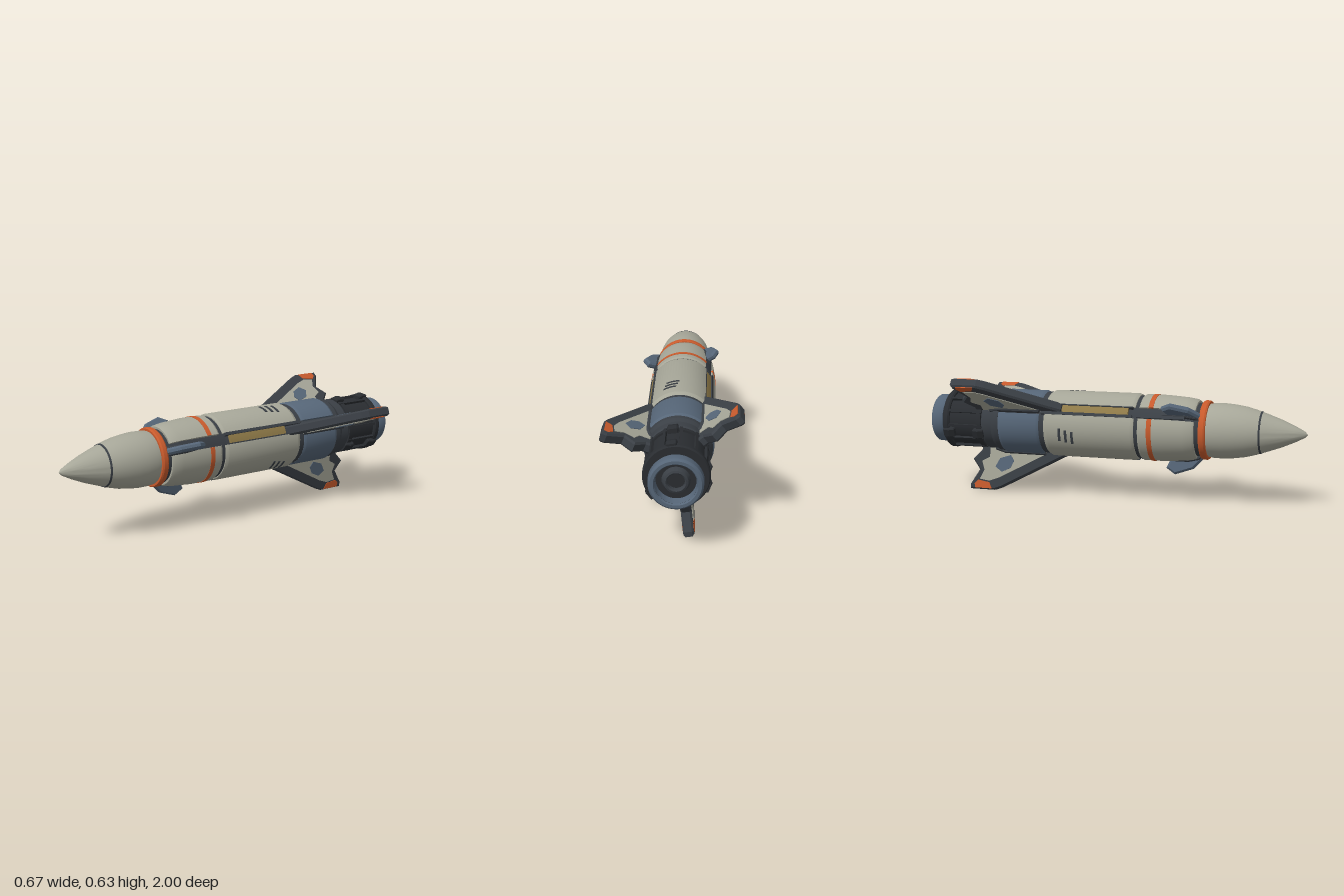
import * as THREE from 'three';
import { mergeGeometries, toCreasedNormals } from 'three/addons/utils/BufferGeometryUtils.js';

const material = (name, color) => {
  const m = new THREE.MeshStandardMaterial({ color, side: THREE.DoubleSide });
  m.name = name;
  return m;
};
const hull = material('warm grey', 0xa6a698);
const slate = material('slate blue', 0x566678);
const dark = material('dark grey', 0x3a3f45);
const black = material('engine black', 0x2a2d31);
const orange = material('orange', 0xc85a2c);
const ochre = material('ochre', 0x8f7a48);

const rad = THREE.MathUtils.degToRad;
const vecs = (pts) => pts.map(([r, z]) => new THREE.Vector2(r, z));

export function createModel() {
  const model = new THREE.Group();
  const rocket = new THREE.Group();
  rocket.name = 'rocket';
  rocket.position.set(-0.027, 0.381, 0);
  model.add(rocket);

  const add = (name, geometry, mat) => {
    const mesh = new THREE.Mesh(geometry, mat);
    mesh.name = name;
    rocket.add(mesh);
    return mesh;
  };

  // Body of revolution around z; profile is [radius, z] with z rising on the outside
  const turned = (name, pts, mat) => {
    const g = new THREE.LatheGeometry(vecs(pts), 64).rotateX(Math.PI / 2);
    return add(name, toCreasedNormals(g, rad(25)), mat);
  };

  // Part of a ring between two angles, with closed ends; profile runs counterclockwise
  const sector = (name, pts, a0, a1, mat) => {
    const steps = Math.max(2, Math.ceil((a1 - a0) / 5));
    const closed = vecs([...pts, pts[0]]);
    const skin = new THREE.LatheGeometry(closed, steps, rad(a0 + 90), rad(a1 - a0)).rotateX(Math.PI / 2);
    const cap = (a, flip) => {
      const g = new THREE.ShapeGeometry(new THREE.Shape(vecs(pts))).rotateX(Math.PI / 2).rotateZ(rad(a));
      if (flip) {
        g.setIndex([...g.index.array].reverse());
        g.computeVertexNormals();
      }
      return g.toNonIndexed();
    };
    return add(name, mergeGeometries([toCreasedNormals(skin, rad(25)), cap(a0, false), cap(a1, true)]), mat);
  };
  const band = (r0, r1, z0, z1) => [[r0, z0], [r1, z0], [r1, z1], [r0, z1]];

  // Flat radial plate at an angle; outline is [radius, z]
  const plate = (name, pts, thickness, angle, mat, bevel = 0) => {
    const g = new THREE.ExtrudeGeometry(new THREE.Shape(vecs(pts)), {
      depth: thickness - 2 * bevel, bevelEnabled: bevel > 0, bevelSegments: 1,
      bevelThickness: bevel, bevelSize: bevel, bevelOffset: -bevel,
    });
    g.translate(0, 0, -thickness / 2 + bevel).rotateX(Math.PI / 2).rotateZ(rad(angle));
    return add(name, g, mat);
  };

  // Nose and collar
  turned('noseCone', [
    [0, 0.505], [0.136, 0.505], [0.14, 0.53], [0.141, 0.58], [0.137, 0.63], [0.128, 0.69],
    [0.115, 0.74], [0.095, 0.8], [0.07, 0.87], [0.042, 0.935], [0.016, 0.985], [0, 1],
  ], hull);
  turned('noseSeam', [[0.1, 0.765], [0.1085, 0.765], [0.1055, 0.774], [0.1, 0.774]], dark);
  turned('collarRing', [
    [0.13, 0.47], [0.147, 0.47], [0.152, 0.478], [0.152, 0.497], [0.147, 0.505], [0.13, 0.505],
  ], orange);

  // Inner core, seen in the gaps between the shells
  turned('core', [[0, -0.62], [0.155, -0.62], [0.155, 0.38], [0.137, 0.45], [0.137, 0.475], [0, 0.475]], dark);
  turned('frontGapRing', band(0.14, 0.162, 0.13, 0.165), dark);
  turned('rearGapRing', band(0.14, 0.163, -0.39, -0.335), dark);

  for (const fin of [21.5, 141.5, 261.5]) {
    const a0 = fin + 15, a1 = fin + 114;

    // Outer shells between the fins
    sector('frontShell', [
      [0.13, 0.16], [0.165, 0.16], [0.171, 0.17], [0.171, 0.28], [0.163, 0.39], [0.156, 0.435], [0.149, 0.447], [0.13, 0.447],
    ], a0, a1, hull);
    sector('shellStripe', band(0.16, 0.173, 0.209, 0.234), a0, a1, orange);
    sector('mainShell', [
      [0.14, -0.345], [0.163, -0.345], [0.174, -0.325], [0.174, 0.125], [0.167, 0.14], [0.14, 0.14],
    ], a0, a1, hull);
    sector('rearCowl', [
      [0.14, -0.6], [0.162, -0.6], [0.17, -0.585], [0.17, -0.385], [0.164, -0.372], [0.14, -0.372],
    ], a0, fin + 110, slate);

    // Slanted set of vents on each main shell
    for (let i = 0; i < 3; i++) {
      const z = -0.262 + i * 0.034;
      const mid = fin + 50 + i * 2.5;
      sector('vent', band(0.17, 0.1765, z, z + 0.013), mid - 11, mid + 11, dark);
    }

    // Service channel with side rails and ochre insert
    sector('channelFront', band(0.14, 0.166, 0.15, 0.4), fin - 5, fin + 13, dark);
    sector('channelRail', band(0.15, 0.177, -0.36, 0.13), fin + 10, fin + 15, dark);
    sector('channelRail', band(0.15, 0.174, -0.36, 0.13), fin - 6, fin - 4, dark);
    sector('channelInsert', band(0.15, 0.17, -0.25, 0.105), fin - 4, fin + 10, ochre);

    // Canard with a dark foot
    plate('canard', [
      [0.13, 0.475], [0.147, 0.478], [0.203, 0.425], [0.236, 0.33], [0.205, 0.283], [0.147, 0.31], [0.13, 0.31],
    ], 0.034, fin, slate, 0.01);
    plate('canardFoot', [[0.13, 0.48], [0.155, 0.455], [0.168, 0.4], [0.168, 0.28], [0.13, 0.28]], 0.048, fin, dark, 0.006);

    // Main fin: frame, side panels, kite plates and tip patches
    plate('finFrame', [
      [0.13, -0.25], [0.17, -0.255], [0.362, -0.62], [0.378, -0.66], [0.378, -0.8], [0.352, -0.8],
      [0.272, -0.75], [0.217, -0.79], [0.165, -0.74], [0.13, -0.74],
    ], 0.052, fin, dark, 0.009);
    plate('finPanel', [
      [0.15, -0.36], [0.17, -0.37], [0.31, -0.635], [0.33, -0.69], [0.322, -0.745], [0.272, -0.72],
      [0.225, -0.735], [0.2, -0.69], [0.15, -0.69],
    ], 0.058, fin, hull);
    plate('finKite', [
      [0.185, -0.57], [0.215, -0.55], [0.255, -0.57], [0.278, -0.62], [0.25, -0.655], [0.205, -0.63],
    ], 0.064, fin, slate);
    plate('finTipPatch', [
      [0.371, -0.675], [0.371, -0.77], [0.348, -0.775], [0.328, -0.755], [0.338, -0.69],
    ], 0.056, fin, orange);
    plate('finRoot', [[0.13, -0.36], [0.177, -0.37], [0.177, -0.6], [0.16, -0.66], [0.13, -0.66]], 0.072, fin, dark, 0.008);

    // Engine clamps midway between the fins
    for (const z of [-0.72, -0.885]) {
      plate('engineClamp', [[0.13, z - 0.03], [0.163, z - 0.03], [0.168, z], [0.16, z + 0.03], [0.13, z + 0.03]],
        0.05, fin + 60, black, 0.005);
    }
  }

  // Engine block with rings and struts
  turned('engineShoulder', [
    [0, -0.7], [0.146, -0.7], [0.152, -0.69], [0.152, -0.645], [0.163, -0.625], [0.163, -0.6], [0, -0.6],
  ], dark);
  turned('engineDrum', [[0, -0.915], [0.14, -0.915], [0.14, -0.69], [0, -0.69]], black);
  turned('engineFrontRing', band(0.13, 0.15, -0.73, -0.705), black);
  turned('engineRearRing', [
    [0.12, -0.92], [0.15, -0.92], [0.156, -0.912], [0.156, -0.892], [0.15, -0.885], [0.12, -0.885],
  ], black);
  for (let i = 0; i < 12; i++) {
    plate('engineStrut', band(0.13, 0.153, -0.905, -0.7), 0.014, 21.5 + 15 + i * 30, black);
  }

  // Nozzle: neck, rim, hollow bore and inner throat
  turned('nozzleNeck', [[0, -0.945], [0.105, -0.945], [0.105, -0.91], [0, -0.91]], black);
  turned('nozzleRim', [
    [0.092, -0.945], [0.096, -0.99], [0.102, -1], [0.117, -1], [0.126, -0.99], [0.128, -0.955],
    [0.121, -0.936], [0.09, -0.936], [0.092, -0.945],
  ], slate);
  turned('nozzleBore', [[0, -0.947], [0.093, -0.947], [0.0965, -0.992]], black);
  turned('nozzleThroat', [
    [0.04, -0.946], [0.04, -0.968], [0.046, -0.974], [0.056, -0.97], [0.066, -0.946],
  ], dark);

  return model;
}
